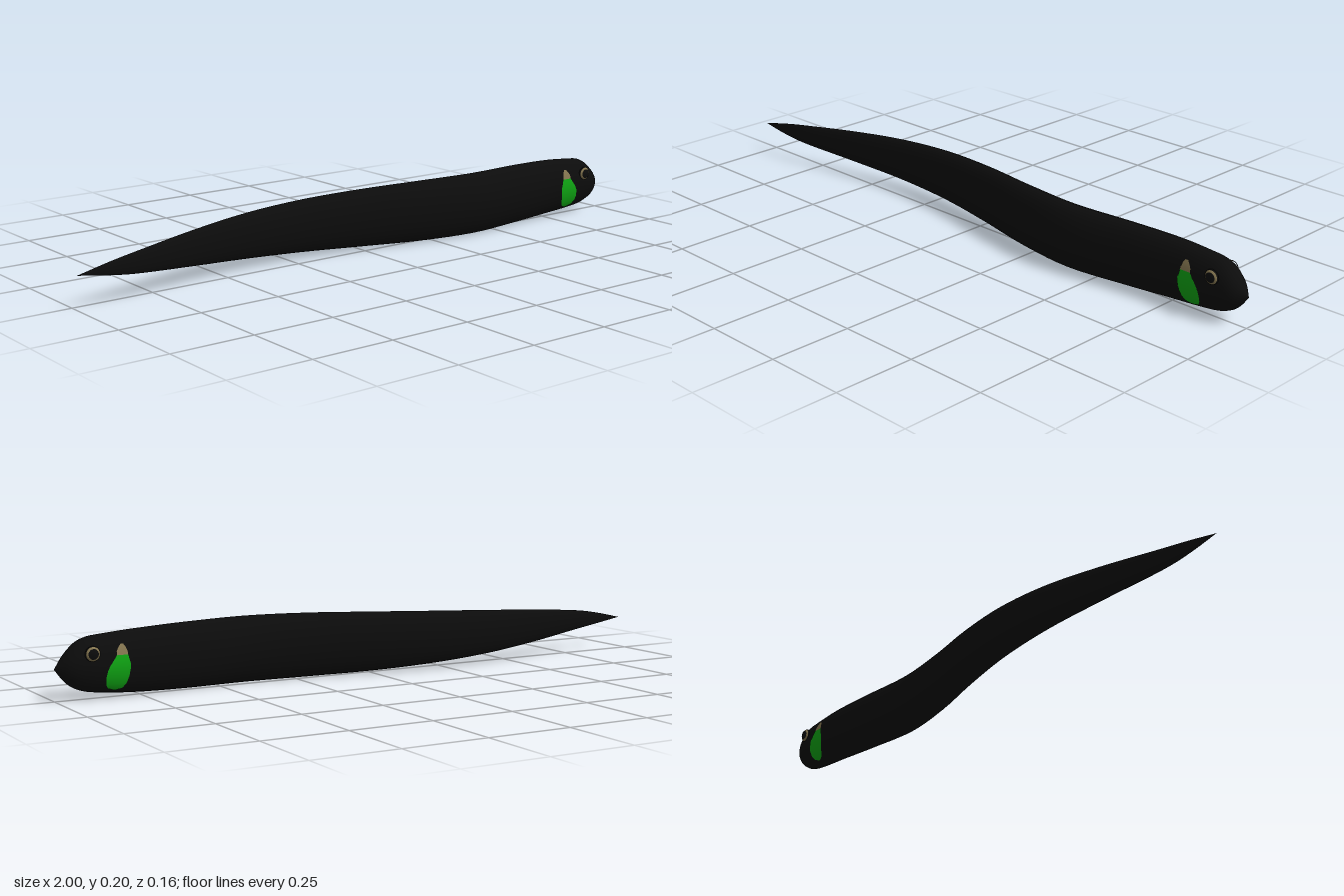
import * as THREE from 'three';

const mat = (name, color, side = THREE.FrontSide) =>
  Object.assign(new THREE.MeshStandardMaterial({ color, side }), { name });

// Cross-sections from tail to snout: x, centre y, half height, centre z, half width
const STATIONS = [
  [-1, 0.1, 0, 0.036, 0],
  [-0.9, 0.103, 0.019, 0.034, 0.005],
  [-0.8, 0.104, 0.033, 0.024, 0.009],
  [-0.6, 0.103, 0.053, -0.016, 0.016],
  [-0.4, 0.102, 0.069, -0.046, 0.025],
  [-0.2, 0.101, 0.081, -0.05, 0.033],
  [0, 0.1, 0.09, -0.027, 0.04],
  [0.2, 0.1, 0.096, 0.01, 0.046],
  [0.4, 0.1, 0.098, 0.031, 0.05],
  [0.6, 0.1, 0.096, 0.012, 0.047],
  [0.75, 0.1, 0.091, -0.003, 0.047],
  [0.85, 0.1, 0.084, -0.006, 0.049],
  [0.92, 0.1, 0.074, -0.006, 0.046],
  [0.965, 0.094, 0.045, -0.004, 0.034],
  [1, 0.092, 0, -0.002, 0],
];

// Smoothly interpolated sections along the body
const vertical = new THREE.CatmullRomCurve3(STATIONS.map(s => new THREE.Vector3(s[0], s[1], s[2])), false, 'catmullrom');
const sideways = new THREE.CatmullRomCurve3(STATIONS.map(s => new THREE.Vector3(s[0], s[3], s[4])), false, 'catmullrom');
const RINGS = 70, SIDES = 20;
const sections = Array.from({ length: RINGS + 1 }, (_, i) => {
  const a = vertical.getPoint(i / RINGS), b = sideways.getPoint(i / RINGS);
  return { x: a.x, cy: a.y, hy: Math.max(a.z, 0), cz: b.y, hz: Math.max(b.z, 0) };
});

// Depth of the skin at a given x and y on one side (+1 or -1)
function skinZ(x, y, side) {
  let i = 0;
  while (i < RINGS - 1 && sections[i + 1].x < x) i++;
  const a = sections[i], b = sections[i + 1], f = (x - a.x) / (b.x - a.x);
  const mix = k => THREE.MathUtils.lerp(a[k], b[k], f);
  const v = (y - mix('cy')) / mix('hy');
  return mix('cz') + side * mix('hz') * Math.sqrt(Math.max(0, 1 - v * v));
}

function gridGeometry(positions, index) {
  const g = new THREE.BufferGeometry();
  g.setAttribute('position', new THREE.Float32BufferAttribute(positions, 3));
  g.setIndex(index);
  g.computeVertexNormals();
  return g;
}

function bodyGeometry() {
  const p = [], index = [];
  sections.forEach(s => {
    for (let j = 0; j < SIDES; j++) {
      const a = (j / SIDES) * Math.PI * 2;
      p.push(s.x, s.cy + s.hy * Math.cos(a), s.cz + s.hz * Math.sin(a));
    }
  });
  for (let i = 0; i < RINGS; i++) {
    for (let j = 0; j < SIDES; j++) {
      const k = (j + 1) % SIDES;
      const a = i * SIDES + j, b = i * SIDES + k, c = a + SIDES, d = b + SIDES;
      index.push(a, b, c, b, d, c);
    }
  }
  return gridGeometry(p, index);
}

// Thin patch lying on the skin; rows are [y, x min, x max]
function patchGeometry(rows, side) {
  const p = [], index = [], cols = 6;
  rows.forEach(([y, x0, x1]) => {
    for (let j = 0; j <= cols; j++) {
      const x = THREE.MathUtils.lerp(x0, x1, j / cols);
      p.push(x, y, skinZ(x, y, side) + side * 0.0025);
    }
  });
  for (let i = 0; i < rows.length - 1; i++) {
    for (let j = 0; j < cols; j++) {
      const a = i * (cols + 1) + j, c = a + cols + 1;
      if (side > 0) index.push(a, a + 1, c, a + 1, c + 1, c);
      else index.push(a, c, a + 1, a + 1, c, c + 1);
    }
  }
  return gridGeometry(p, index);
}

const GREEN_ROWS = [
  [0.026, 0.83, 0.84], [0.032, 0.815, 0.858], [0.045, 0.806, 0.866], [0.065, 0.8, 0.868],
  [0.085, 0.797, 0.864], [0.1, 0.796, 0.856], [0.113, 0.8, 0.846], [0.126, 0.803, 0.837],
];
const TAN_ROWS = [
  [0.126, 0.803, 0.837], [0.137, 0.804, 0.836], [0.147, 0.808, 0.83], [0.156, 0.814, 0.822],
];

export function createModel() {
  const model = new THREE.Group();
  model.name = 'eel';
  const black = mat('black skin', 0x0c0c0c);
  const green = mat('green patch', 0x10a814, THREE.DoubleSide);
  const tan = mat('tan marking', 0x857650, THREE.DoubleSide);

  const add = (parent, name, geometry, material) => {
    const mesh = new THREE.Mesh(geometry, material);
    mesh.name = name;
    parent.add(mesh);
    return mesh;
  };

  add(model, 'body', bodyGeometry(), black);

  for (const side of [1, -1]) {
    const label = side > 0 ? 'front' : 'back';

    // Gill patch with its tan tip
    add(model, label + 'GillPatch', patchGeometry(GREEN_ROWS, side), green);
    add(model, label + 'GillTip', patchGeometry(TAN_ROWS, side), tan);

    // Bulging eye: dark pupil, tan iris ring, dark rim
    const eye = new THREE.Group();
    eye.name = label + 'Eye';
    const bands = [['pupil', 0, 0.75, black], ['iris', 0.75, 0.4, tan], ['rim', 1.15, 0.42, black]];
    for (const [name, start, length, material] of bands) {
      const g = new THREE.SphereGeometry(0.022, 20, 5, 0, Math.PI * 2, start, length);
      g.rotateX(side * Math.PI / 2);
      add(eye, name, g, material);
    }
    eye.scale.z = 0.6;
    eye.position.set(0.905, 0.134, skinZ(0.905, 0.134, side) - side * 0.001);
    model.add(eye);
  }
  return model;
}
